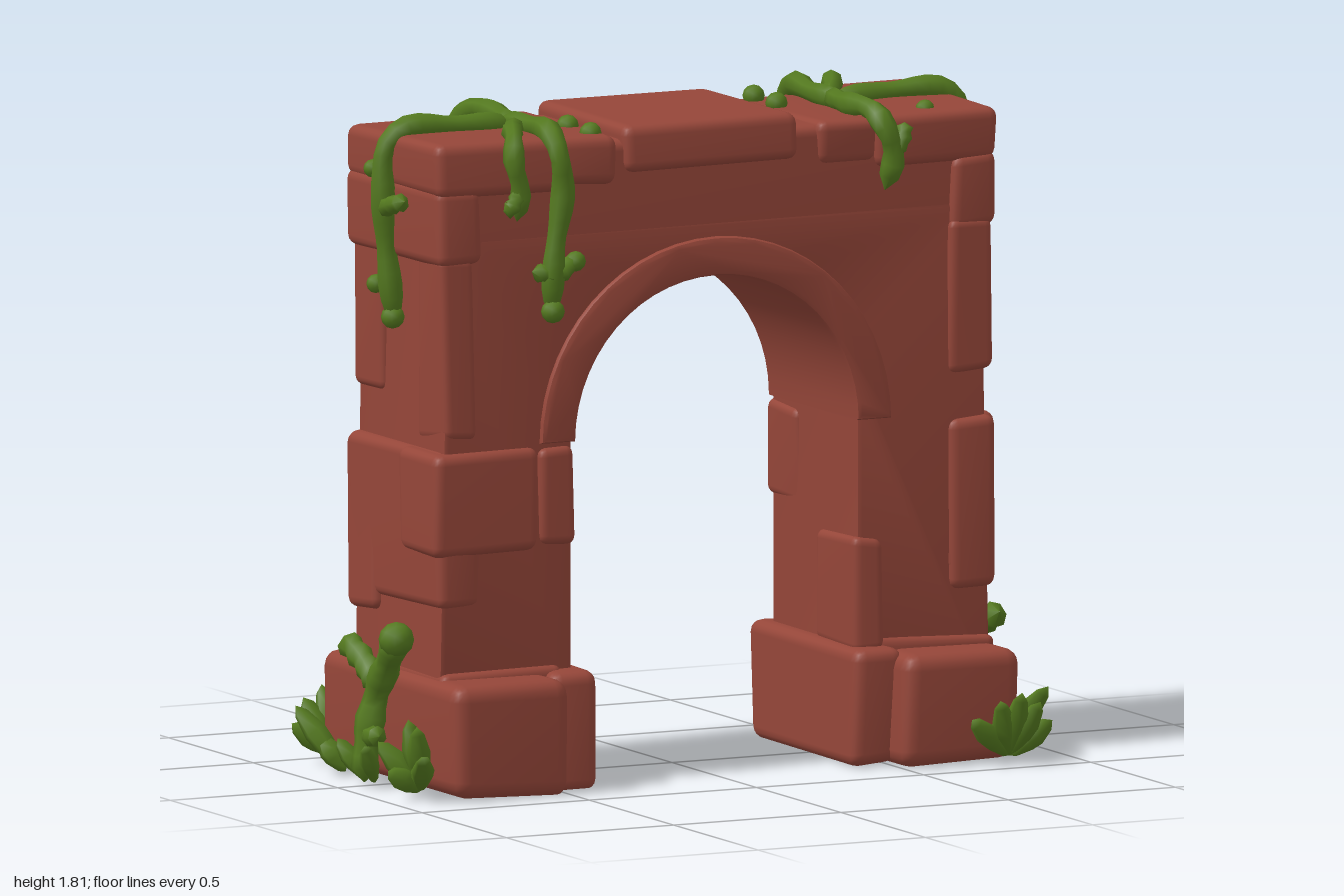
import * as THREE from 'three';
import { mergeVertices, toCreasedNormals } from 'three/addons/utils/BufferGeometryUtils.js';
import { RoundedBoxGeometry } from 'three/addons/geometries/RoundedBoxGeometry.js';

const V = (x, y, z) => new THREE.Vector3(x, y, z);

export function createModel() {
  const brick = new THREE.MeshStandardMaterial({ color: 0x954639 });
  brick.name = 'red stone';
  const green = new THREE.MeshStandardMaterial({ color: 0x54791f });
  green.name = 'vine green';

  let seed = 7;
  const rand = () => {
    seed = (seed * 16807) % 2147483647;
    return seed / 2147483647 - 0.5;
  };

  const add = (parent, name, geo, mat) => {
    const m = new THREE.Mesh(geo, mat);
    m.name = name;
    parent.add(m);
    return m;
  };

  // weld and smooth a deformed geometry
  const smooth = (geo) => {
    geo.deleteAttribute('uv');
    geo.deleteAttribute('normal');
    const g = mergeVertices(geo, 1e-4);
    g.computeVertexNormals();
    return g;
  };

  // worn block: a rounded box with its eight corners nudged at random
  const stone = (parent, name, [x0, x1], [y0, y1], [z0, z1], r = 0.025, wear = 0.02) => {
    const w = x1 - x0, h = y1 - y0, d = z1 - z0;
    const geo = new RoundedBoxGeometry(w, h, d, 2, Math.min(r, 0.45 * Math.min(w, h, d)));
    const corners = Array.from({ length: 8 }, () => V(rand(), rand(), rand()).multiplyScalar(wear));
    const p = geo.attributes.position, v = V(0, 0, 0);
    for (let i = 0; i < p.count; i++) {
      v.fromBufferAttribute(p, i);
      const t = [v.x / w + 0.5, v.y / h + 0.5, v.z / d + 0.5];
      const q = v.clone();
      corners.forEach((c, k) => {
        const f = t.reduce((a, s, axis) => a * ((k >> axis) & 1 ? s : 1 - s), 1);
        q.addScaledVector(c, f);
      });
      p.setXYZ(i, q.x + (x0 + x1) / 2, Math.max(0, q.y + (y0 + y1) / 2), q.z + (z0 + z1) / 2);
    }
    return add(parent, name, smooth(geo), brick);
  };

  // extrusion centred on z with worn edges
  const slab = (parent, name, shape, halfDepth, bevel) => {
    const geo = new THREE.ExtrudeGeometry(shape, {
      depth: 2 * (halfDepth - bevel), bevelThickness: bevel, bevelSize: bevel,
      bevelOffset: -bevel, bevelSegments: 2, curveSegments: 14,
    });
    geo.translate(0, 0, bevel - halfDepth);
    return add(parent, name, toCreasedNormals(geo, 0.6), brick);
  };

  // knobbly vine with rounded ends
  const vine = (parent, name, pts, r = 0.03) => {
    const curve = new THREE.CatmullRomCurve3(pts.map((a) => V(...a)));
    const n = Math.max(8, Math.round(curve.getLength() / 0.035)), sides = 7;
    const geo = new THREE.TubeGeometry(curve, n, r, sides, false);
    const p = geo.attributes.position, v = V(0, 0, 0);
    for (let i = 0; i < p.count; i++) {
      const t = Math.floor(i / (sides + 1)) / n;
      const k = Math.max(0.04, Math.sqrt(1 - Math.pow(2 * t - 1, 10))) * (1 + 0.14 * Math.sin(t * 23));
      const c = curve.getPointAt(t);
      v.fromBufferAttribute(p, i).sub(c).multiplyScalar(k).add(c);
      p.setXYZ(i, v.x, v.y, v.z);
    }
    return add(parent, name, smooth(geo), green);
  };

  const bud = (parent, x, y, z, r = 0.03) => {
    add(parent, 'bud', new THREE.IcosahedronGeometry(r, 1), green).position.set(x, y, z);
  };

  // pointed fleshy leaf growing from a to b
  const leafProfile = [[0, 0], [0.45, 0.1], [0.9, 0.4], [1, 0.6], [0.6, 0.88], [0, 1]];
  const leaf = (parent, a, b, w = 0.034) => {
    const from = V(...a), dir = V(...b).sub(from), len = dir.length();
    const geo = new THREE.LatheGeometry(leafProfile.map(([x, y]) => new THREE.Vector2(x * w, y * len)), 6);
    geo.scale(1, 1, 0.7);
    const m = add(parent, 'leaf', smooth(geo), green);
    m.position.copy(from);
    m.quaternion.setFromUnitVectors(V(0, 1, 0), dir.normalize());
  };

  const model = new THREE.Group();
  model.name = 'overgrown stone arch';

  // wall with the arched opening
  const R = 0.425, cy = 0.93;
  const wall = new THREE.Shape();
  wall.moveTo(-0.825, 0.2);
  wall.lineTo(-R, 0.2);
  wall.lineTo(-R, cy);
  wall.absarc(0, cy, R, Math.PI, 0, true);
  wall.lineTo(R, 0.2);
  wall.lineTo(0.825, 0.2);
  wall.lineTo(0.8, 1.5);
  wall.lineTo(-0.8, 1.5);
  slab(model, 'archWall', wall, 0.255, 0.015);

  // raised ring around the arch
  const ring = new THREE.Shape();
  ring.absarc(0, cy, 0.525, 0, Math.PI, false);
  ring.absarc(0, cy, R - 0.005, Math.PI, 0, true);
  slab(model, 'archRing', ring, 0.27, 0.014);

  // lintel and its central top slab
  stone(model, 'lintel', [-0.8, 0.8], [1.43, 1.735], [-0.255, 0.255], 0.03, 0.01);
  stone(model, 'topSlab', [-0.275, 0.245], [1.645, 1.775], [-0.272, 0.272], 0.03, 0.012);

  // one side; the other is the same turned half a circle
  const makeSide = (name) => {
    const g = new THREE.Group();
    g.name = name;

    // foot
    stone(g, 'footBlock', [0.49, 0.845], [0, 0.305], [-0.405, 0.405], 0.045, 0.025);
    stone(g, 'footInnerBlock', [0.385, 0.53], [0, 0.325], [-0.325, 0.325], 0.035);
    stone(g, 'footLedge', [0.46, 0.832], [0.24, 0.335], [-0.272, 0.272]);

    // raised blocks on the pillar
    stone(g, 'sideBlock', [0.7, 0.84], [0.49, 0.92], [-0.265, 0.265], 0.03);
    stone(g, 'frontLowBlock', [0.69, 0.835], [0.45, 0.915], [0.1, 0.275], 0.03);
    stone(g, 'backBlock', [0.53, 0.85], [0.64, 0.92], [-0.277, -0.05], 0.03);
    stone(g, 'backInnerBlock', [0.42, 0.535], [0.66, 0.92], [-0.27, -0.08]);
    stone(g, 'frontInnerStrip', [0.415, 0.505], [0.3, 0.61], [0.02, 0.27]);
    stone(g, 'frontHighStrip', [0.695, 0.82], [1.04, 1.45], [0.1, 0.27]);
    stone(g, 'backHighStrip', [0.71, 0.818], [0.95, 1.45], [-0.265, -0.1]);

    // corner stones of the top
    stone(g, 'capSlab', [0.47, 0.838], [1.61, 1.752], [-0.275, 0.275], 0.03, 0.015);
    stone(g, 'capInnerSlab', [0.295, 0.49], [1.62, 1.745], [-0.27, 0.272], 0.03);
    stone(g, 'capBlock', [0.7, 0.838], [1.425, 1.63], [-0.272, 0.272], 0.03, 0.015);

    // vines over the top and down each face
    vine(g, 'endVine', [[0.48, 1.76, 0], [0.65, 1.765, -0.01], [0.8, 1.765, 0], [0.858, 1.72, 0],
      [0.865, 1.58, 0], [0.85, 1.42, 0.005], [0.83, 1.24, 0]], 0.031);
    vine(g, 'endVineTwig', [[0.86, 1.55, 0], [0.875, 1.57, -0.06], [0.865, 1.59, -0.13]], 0.024);
    vine(g, 'backLongVine', [[0.49, 1.76, 0.05], [0.47, 1.765, -0.1], [0.49, 1.765, -0.25], [0.49, 1.72, -0.3],
      [0.47, 1.62, -0.285], [0.495, 1.45, -0.285], [0.5, 1.28, -0.275]], 0.03);
    vine(g, 'backVineTwig', [[0.43, 1.43, -0.275], [0.48, 1.39, -0.285], [0.56, 1.4, -0.28]], 0.024);
    vine(g, 'backShortVine', [[0.5, 1.76, -0.06], [0.56, 1.765, -0.16], [0.61, 1.765, -0.27], [0.625, 1.7, -0.305],
      [0.6, 1.62, -0.295], [0.605, 1.54, -0.28]], 0.027);
    vine(g, 'backShortTwig', [[0.6, 1.63, -0.295], [0.63, 1.58, -0.3], [0.65, 1.57, -0.29]], 0.022);
    vine(g, 'frontVine', [[0.49, 1.76, -0.03], [0.46, 1.765, 0.13], [0.47, 1.765, 0.25], [0.485, 1.72, 0.305],
      [0.515, 1.64, 0.295], [0.495, 1.55, 0.28]], 0.03);
    vine(g, 'frontVineTwig', [[0.5, 1.64, 0.295], [0.535, 1.68, 0.3], [0.55, 1.73, 0.29]], 0.022);

    // buds on vines and stone
    bud(g, 0.86, 1.345, 0.05, 0.026);
    bud(g, 0.835, 1.26, 0, 0.032);
    bud(g, 0.5, 1.29, -0.285, 0.032);
    bud(g, 0.43, 1.42, -0.28, 0.028);
    bud(g, 0.345, 1.75, -0.2);
    bud(g, 0.34, 1.75, -0.055);
    bud(g, 0.66, 1.745, 0.19, 0.026);
    bud(g, 0.88, 1.66, 0.03, 0.025);

    // forked shoot beside the foot
    vine(g, 'shoot', [[0.92, 0.01, 0], [0.91, 0.12, 0.005], [0.885, 0.24, 0], [0.88, 0.32, -0.05],
      [0.89, 0.38, -0.11], [0.89, 0.43, -0.155]], 0.038);
    vine(g, 'shootFork', [[0.885, 0.26, 0], [0.88, 0.31, 0.06], [0.885, 0.345, 0.12], [0.89, 0.37, 0.175]], 0.034);
    vine(g, 'shootTwig', [[0.9, 0.13, 0], [0.92, 0.14, -0.05], [0.92, 0.145, -0.09]], 0.026);
    bud(g, 0.89, 0.41, -0.13, 0.048);
    for (const z of [-0.05, 0.05]) leaf(g, [0.9, 0.01, z / 2], [0.96, 0.12, z * 1.6], 0.028);

    // leaf tufts: root followed by the tips
    const tufts = [
      [[0.88, 0.01, 0.19], [0.975, 0.18, 0.3], [0.93, 0.1, 0.24]],
      [[0.88, 0.02, -0.26], [0.98, 0.15, -0.2], [0.91, 0.21, -0.24], [0.92, 0.2, -0.31],
        [0.94, 0.13, -0.39], [0.985, 0.08, -0.27]],
      [[0.8, 0.02, 0.41], [0.67, 0.13, 0.45], [0.74, 0.18, 0.48], [0.8, 0.2, 0.49],
        [0.86, 0.17, 0.48], [0.92, 0.11, 0.43]],
    ];
    for (const [root, ...tips] of tufts) for (const tip of tips) leaf(g, root, tip);
    return g;
  };

  const left = makeSide('leftPillar');
  const right = makeSide('rightPillar');
  right.rotation.y = Math.PI;
  model.add(left, right);
  return model;
}
